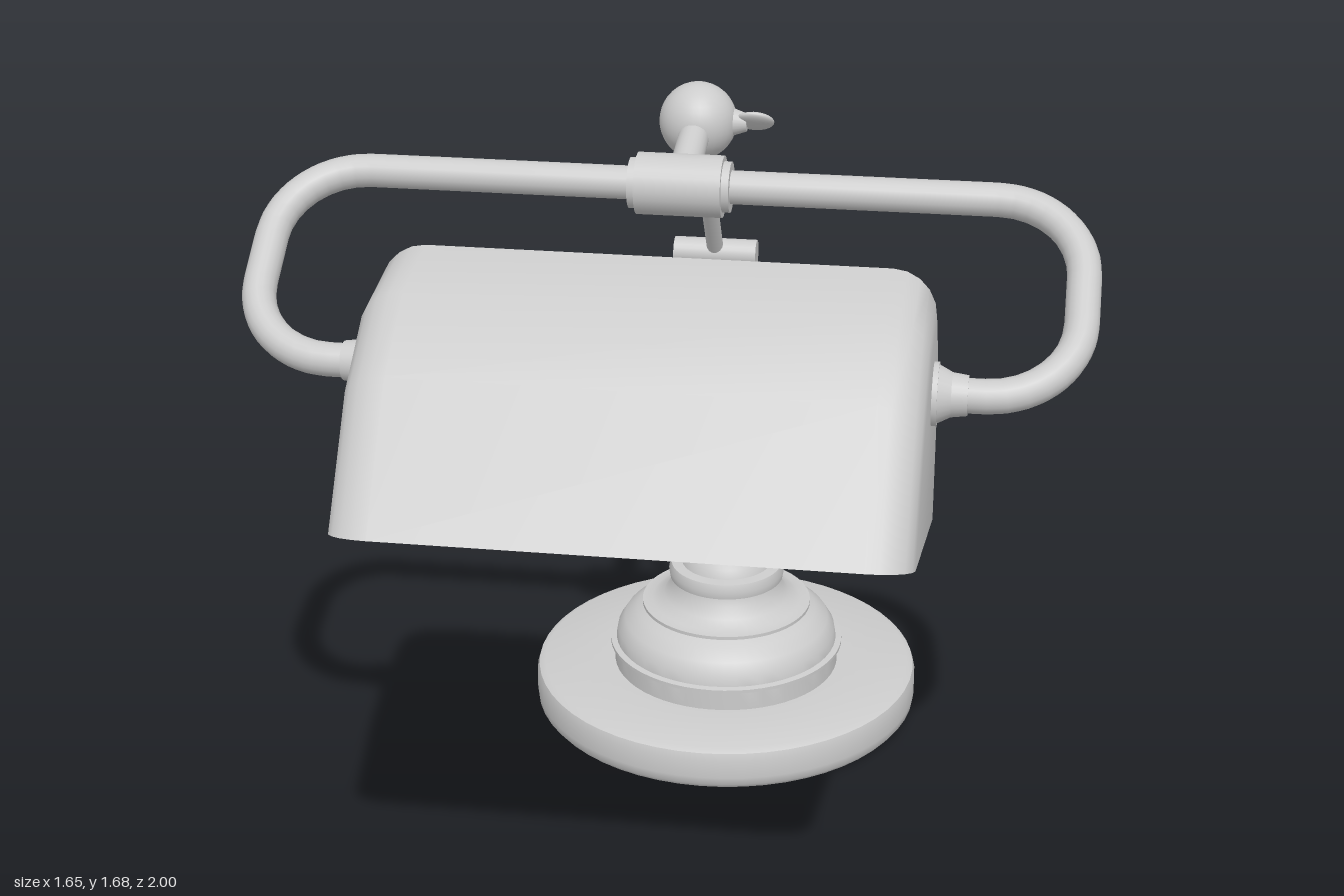
import * as THREE from 'three';
import { toCreasedNormals } from 'three/addons/utils/BufferGeometryUtils.js';

const solid = new THREE.MeshStandardMaterial({ color: 0xcccccc });
const shell = new THREE.MeshStandardMaterial({ color: 0xcccccc, side: THREE.DoubleSide });
const V = (x, y, z) => new THREE.Vector3(x, y, z);

export function createModel() {
  const lamp = new THREE.Group();
  lamp.name = 'deskLamp';

  const add = (name, geometry, material = solid) => {
    const mesh = new THREE.Mesh(geometry, material);
    mesh.name = name;
    lamp.add(mesh);
    return mesh;
  };
  // Cylinder or cone between two points
  const rod = (name, a, b, r0, r1 = r0, sides = 24) => {
    const mesh = add(name, new THREE.CylinderGeometry(r1, r0, a.distanceTo(b), sides));
    mesh.position.copy(a).lerp(b, 0.5);
    mesh.quaternion.setFromUnitVectors(V(0, 1, 0), b.clone().sub(a).normalize());
    return mesh;
  };
  // Cylinder lying along x, centred on x = 0
  const crossBar = (name, y, z, r, half) => rod(name, V(-half, y, z), V(half, y, z), r);

  // Hollow stepped base with its turned neck
  const profile = [
    [0.265, 0.09], [0.435, 0.09], [0.435, 0], [0.448, 0], [0.458, 0.012], [0.46, 0.03],
    [0.46, 0.075], [0.455, 0.092], [0.44, 0.1], [0.27, 0.1], [0.27, 0.15], [0.28, 0.15],
    [0.28, 0.158], [0.266, 0.16], [0.262, 0.185], [0.245, 0.212], [0.215, 0.235], [0.182, 0.25],
    [0.202, 0.25], [0.202, 0.258], [0.178, 0.26], [0.15, 0.275], [0.132, 0.3], [0.127, 0.318],
    [0.135, 0.322], [0.138, 0.34], [0.132, 0.358], [0.107, 0.36], [0.1, 0.38], [0.082, 0.4],
    [0.055, 0.408], [0.068, 0.408], [0.068, 0.416], [0.03, 0.418], [0.025, 0.428], [0.035, 0.435],
    [0.035, 0.445], [0.022, 0.452], [0.031, 0.462], [0.031, 0.47], [0.02, 0.48], [0.02, 0.53],
  ].map(([r, y]) => new THREE.Vector2(r, y));
  const base = add('base', toCreasedNormals(new THREE.LatheGeometry(profile, 56), 0.7), shell);
  base.position.z = -0.54;

  // Lower and upper pivots joined by a pair of thin rods
  crossBar('lowerPivot', 0.535, -0.54, 0.031, 0.09);
  crossBar('upperPivot', 1.22, -0.33, 0.031, 0.09);
  for (const s of [-1, 1]) {
    rod('supportRod', V(s * 0.045, 0.535, -0.54), V(s * 0.045, 1.22, -0.33), 0.012);
  }

  // Main arm with its weighted tail
  const ball = V(0, 1.603, -0.057);
  rod('mainArm', ball, V(0, 0.93, -0.533), 0.018);
  rod('armTail', V(0, 0.955, -0.515), V(0, 0.88, -0.57), 0.028);

  // Ball joint and wing screw
  add('ballJoint', new THREE.SphereGeometry(0.079, 32, 20)).position.copy(ball);
  rod('screwStem', V(0.06, 1.603, -0.057), V(0.1, 1.603, -0.057), 0.032, 0.018);
  const wing = add('wingScrew', new THREE.SphereGeometry(1, 20, 14));
  wing.position.set(0.115, 1.606, -0.06);
  wing.scale.set(0.04, 0.012, 0.038);
  wing.rotation.x = -0.7;

  // Neck and collar holding the yoke
  const hub = V(0, 1.547, 0.185);
  rod('neck', ball, hub, 0.031);
  crossBar('collar', hub.y, hub.z, 0.061, 0.085);
  crossBar('collarEnds', hub.y, hub.z, 0.05, 0.1);

  // Yoke: a straight bar curling round to each end of the shade
  const mount = V(0, 1.293, 0.555);
  const drop = mount.clone().sub(hub);
  const span = drop.length(), r = 0.17;
  drop.normalize();
  const at = (x, d) => hub.clone().addScaledVector(drop, d).setX(x);
  const half = [];
  for (let i = 0; i <= 8; i++) {
    const a = (i / 8) * Math.PI / 2;
    half.push([0.62 + r * Math.sin(a), r * (1 - Math.cos(a))]);
  }
  for (let i = 0; i <= 8; i++) {
    const a = (i / 8) * Math.PI / 2;
    half.push([0.62 + r * Math.cos(a), span - r + r * Math.sin(a)]);
  }
  half.push([0.52, span]);
  const path = new THREE.CurvePath();
  const points = [
    ...half.map(([x, d]) => at(-x, d)).reverse(),
    ...half.map(([x, d]) => at(x, d)),
  ];
  for (let i = 1; i < points.length; i++) path.add(new THREE.LineCurve3(points[i - 1], points[i]));
  add('yoke', new THREE.TubeGeometry(path, 240, 0.033, 18));

  // Flared sockets where the yoke meets the shade
  for (const s of [-1, 1]) {
    const p = (x) => V(s * x, mount.y, mount.z);
    rod('socketFlange', p(0.515), p(0.535), 0.06);
    rod('socketFlare', p(0.535), p(0.56), 0.055, 0.042);
    rod('socketSleeve', p(0.56), p(0.59), 0.042, 0.038);
  }

  add('shade', shadeGeometry(), shell);
  return lamp;
}

// Open-bottomed shade: one z, y section swept along x, shrinking round the end edges
function shadeGeometry() {
  const section = [
    [1.0, 1.14], [0.82, 1.378], [0.665, 1.482], [0.485, 1.508],
    [0.375, 1.387], [0.288, 1.2], [0.275, 0.91],
  ];
  const cz = 0.6375, cy = 1.025;
  const end = [];
  for (let i = 0; i <= 5; i++) {
    const a = (i / 5) * Math.PI / 2;
    end.push([0.44 + 0.085 * Math.sin(a), 1 - 0.17 * (1 - Math.cos(a))]);
  }
  end.push([0.525, 0]);
  const rings = [...end.map(([x, k]) => [-x, k]).reverse(), ...end];

  const pos = [], index = [], n = section.length;
  for (const [x, k] of rings) {
    for (const [z, y] of section) pos.push(x, cy + (y - cy) * k, cz + (z - cz) * k);
  }
  for (let i = 0; i < rings.length - 1; i++) {
    for (let j = 0; j < n - 1; j++) {
      const a = i * n + j, b = a + n;
      if (i < rings.length - 2) index.push(a, b, b + 1);
      else index.push(a, b, a + 1);
      if (i > 0 && i < rings.length - 2) index.push(a, b + 1, a + 1);
    }
  }
  const g = new THREE.BufferGeometry();
  g.setAttribute('position', new THREE.Float32BufferAttribute(pos, 3));
  g.setIndex(index);
  return toCreasedNormals(g, 0.7);
}
